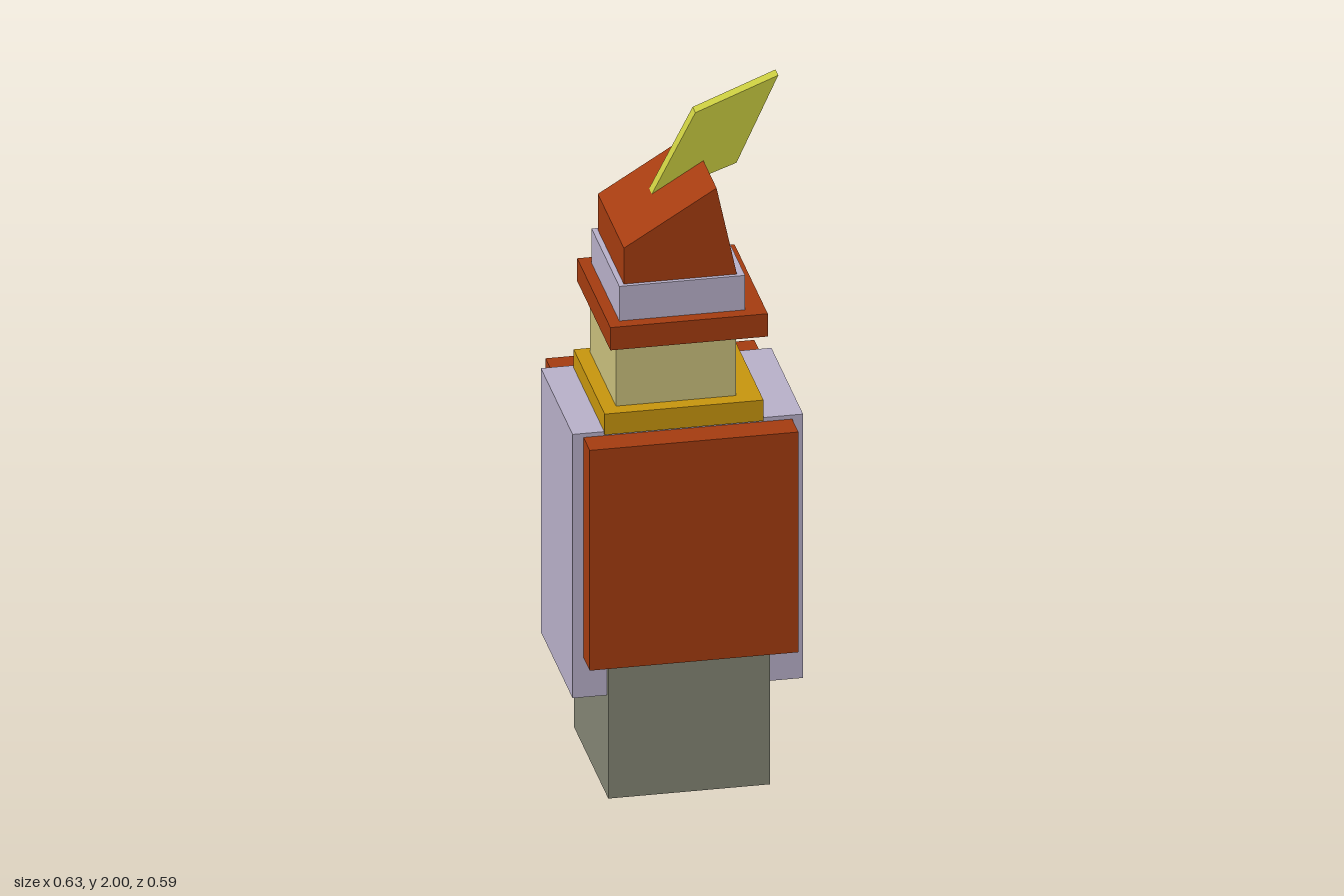
import * as THREE from 'three';

const mat = (name, color, side = THREE.FrontSide) => {
  const m = new THREE.MeshStandardMaterial({ color, side });
  m.name = name;
  return m;
};

export function createModel() {
  const group = new THREE.Group();
  const rust = mat('rust', 0xa53c10);
  const lavender = mat('lavender', 0xb9b1ca);
  const stone = mat('stone grey', 0x848575, THREE.DoubleSide);
  const sand = mat('sand', 0xcac17d);
  const gold = mat('gold', 0xc8960e);
  const yellow = mat('yellow', 0xc8ca40);

  const add = (name, geometry, material) => {
    const mesh = new THREE.Mesh(geometry, material);
    mesh.name = name;
    group.add(mesh);
    return mesh;
  };
  // Box given by its extents on each axis
  const box = (name, material, [x0, x1], [y0, y1], [z0, z1]) =>
    add(name, new THREE.BoxGeometry(x1 - x0, y1 - y0, z1 - z0), material)
      .position.set((x0 + x1) / 2, (y0 + y1) / 2, (z0 + z1) / 2);
  // Side profile extruded along z
  const prism = (name, material, points, z0, z1) => {
    const shape = new THREE.Shape(points.map(([x, y]) => new THREE.Vector2(x, y)));
    const geometry = new THREE.ExtrudeGeometry(shape, { depth: z1 - z0, bevelEnabled: false });
    add(name, geometry.translate(0, 0, z0), material);
  };

  // Hollow base: four thin walls, open underneath
  const wallTop = 0.45;
  for (const s of [-1, 1]) {
    const face = new THREE.PlaneGeometry(0.445, wallTop);
    if (s < 0) face.rotateY(Math.PI);
    add('baseWall', face.translate(0, wallTop / 2, s * 0.23), stone);
    const flank = new THREE.PlaneGeometry(0.46, wallTop).rotateY(s * Math.PI / 2);
    add('baseWall', flank.translate(s * 0.2225, wallTop / 2, 0), stone);
  }

  // Body with front and back panels
  box('body', lavender, [-0.317, 0.317], [0.30, 1.087], [-0.212, 0.212]);
  for (const s of [-1, 1]) {
    const z = [s * 0.20, s * 0.295].sort((a, b) => a - b);
    box('bodyPanel', rust, [-0.287, 0.287], [0.418, 1.075], z);
  }

  // Stacked collar, head and hat band
  box('collar', gold, [-0.23, 0.207], [1.08, 1.142], [-0.197, 0.218]);
  box('head', sand, [-0.19, 0.14], [1.14, 1.335], [-0.172, 0.175]);
  box('brim', rust, [-0.215, 0.218], [1.332, 1.40], [-0.223, 0.221]);
  box('hatBand', lavender, [-0.183, 0.163], [1.40, 1.503], [-0.186, 0.185]);

  // Slanted crown and feather
  prism('crown', rust, [[-0.168, 1.503], [0.143, 1.503], [0.087, 1.765], [-0.168, 1.61]], -0.175, 0.173);
  prism('feather', yellow, [[-0.062, 1.665], [0.178, 1.75], [0.293, 2.0], [0.065, 1.91]], -0.04, -0.003);

  return group;
}
